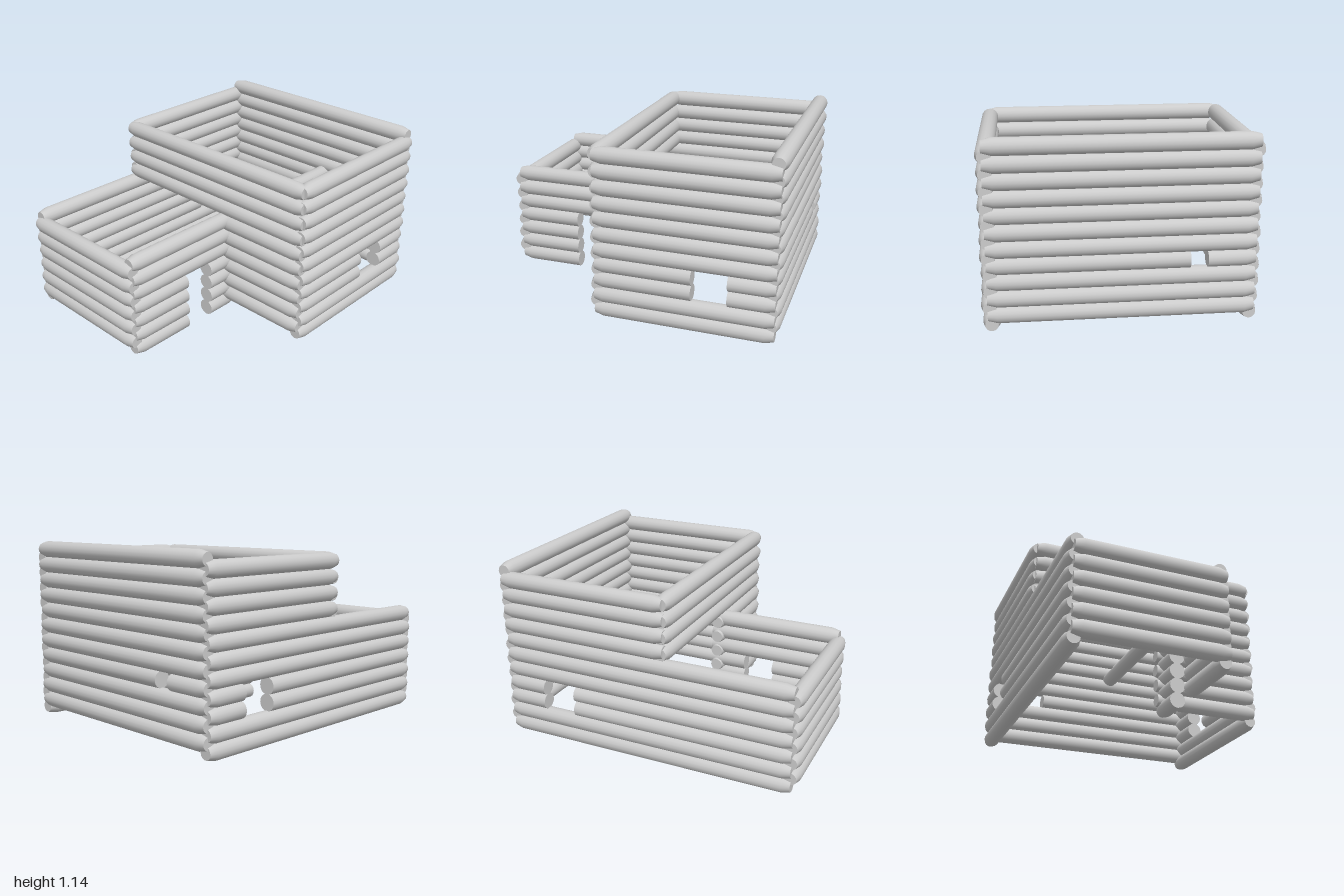
import * as THREE from 'three';
import { toCreasedNormals } from 'three/addons/utils/BufferGeometryUtils.js';

const R = 0.052;       // log radius
const PITCH = 0.0985;  // height of one course
const TIP = 0.055;     // length of the hewn taper at a log end

// small seeded wobble so the logs do not line up perfectly
let seed = 7;
const wobble = () => {
  seed = (seed * 16807) % 2147483647;
  return (seed / 2147483647 - 0.5) * 0.01;
};

// one log from a to b along its own axis; taperA / taperB hew the ends, otherwise sawn flat
function logGeometry(a, b, taperA, taperB) {
  const pts = [[0, a]];
  if (taperA) pts.push([R * 0.74, a], [R, a + TIP]);
  else pts.push([R, a]);
  if (taperB) pts.push([R, b - TIP], [R * 0.74, b]);
  else pts.push([R, b]);
  pts.push([0, b]);
  const lathe = new THREE.LatheGeometry(pts.map(p => new THREE.Vector2(...p)), 16);
  return toCreasedNormals(lathe, 0.6);
}

export function createModel() {
  const model = new THREE.Group();
  const material = new THREE.MeshStandardMaterial({ color: 0xcccccc });

  // A stack of logs along 'x' or 'z'. at: position across the wall.
  // opening: { from, to, first, last } cuts the courses first..last.
  function wall(name, axis, at, from, to, base, first, last, { pitch = PITCH, opening } = {}) {
    const group = new THREE.Group();
    group.name = name;
    for (let i = first; i <= last; i++) {
      const cut = opening && i >= opening.first && i <= opening.last;
      const spans = cut
        ? [[from, opening.from, true, false], [opening.to, to, false, true]]
        : [[from, to, true, true]];
      const across = at + wobble();
      for (const span of spans) {
        const log = new THREE.Mesh(logGeometry(...span), material);
        log.name = 'log';
        const y = base + i * pitch;
        if (axis === 'x') {
          log.rotation.z = -Math.PI / 2;
          log.position.set(0, y, across);
        } else {
          log.rotation.x = Math.PI / 2;
          log.position.set(across, y, 0);
        }
        group.add(log);
      }
    }
    model.add(group);
  }

  const LOW = 0.054;   // first course of the x walls
  const HIGH = 0.108;  // first course of the z walls, half a log higher
  const window = { from: 0.47, to: 0.69, first: 2, last: 3 };

  // tall room
  wall('frontWall', 'x', 0.753, -0.14, 0.97, LOW, 0, 10, { opening: window });
  wall('rightWall', 'z', 0.942, -0.77, 0.77, HIGH, 0, 10,
    { opening: { from: -0.49, to: -0.39, first: 3, last: 3 } });
  wall('lowerPartition', 'z', -0.127, 0.07, 0.77, HIGH, 0, 5, { pitch: 0.1035 });
  wall('upperPartition', 'z', -0.127, -0.77, 0.77, HIGH, 6, 9, { pitch: 0.1035 });

  // back wall: long courses behind both rooms, short ones behind the tall room
  wall('backWallLower', 'x', -0.755, -0.95, 0.95, LOW, 0, 6, { opening: window });
  wall('backWallUpper', 'x', -0.752, -0.14, 0.96, LOW, 7, 10);

  // low wing with a doorway; its top course runs on as a beam through the tall room
  wall('wingFrontWall', 'x', 0.135, -0.95, -0.08, LOW, 0, 5,
    { opening: { from: -0.52, to: -0.32, first: 0, last: 3 } });
  wall('crossBeam', 'x', 0.135, -0.95, 0.95, LOW, 6, 6);
  wall('wingSideWall', 'z', -0.942, -0.77, 0.16, HIGH, 0, 5);

  return model;
}
